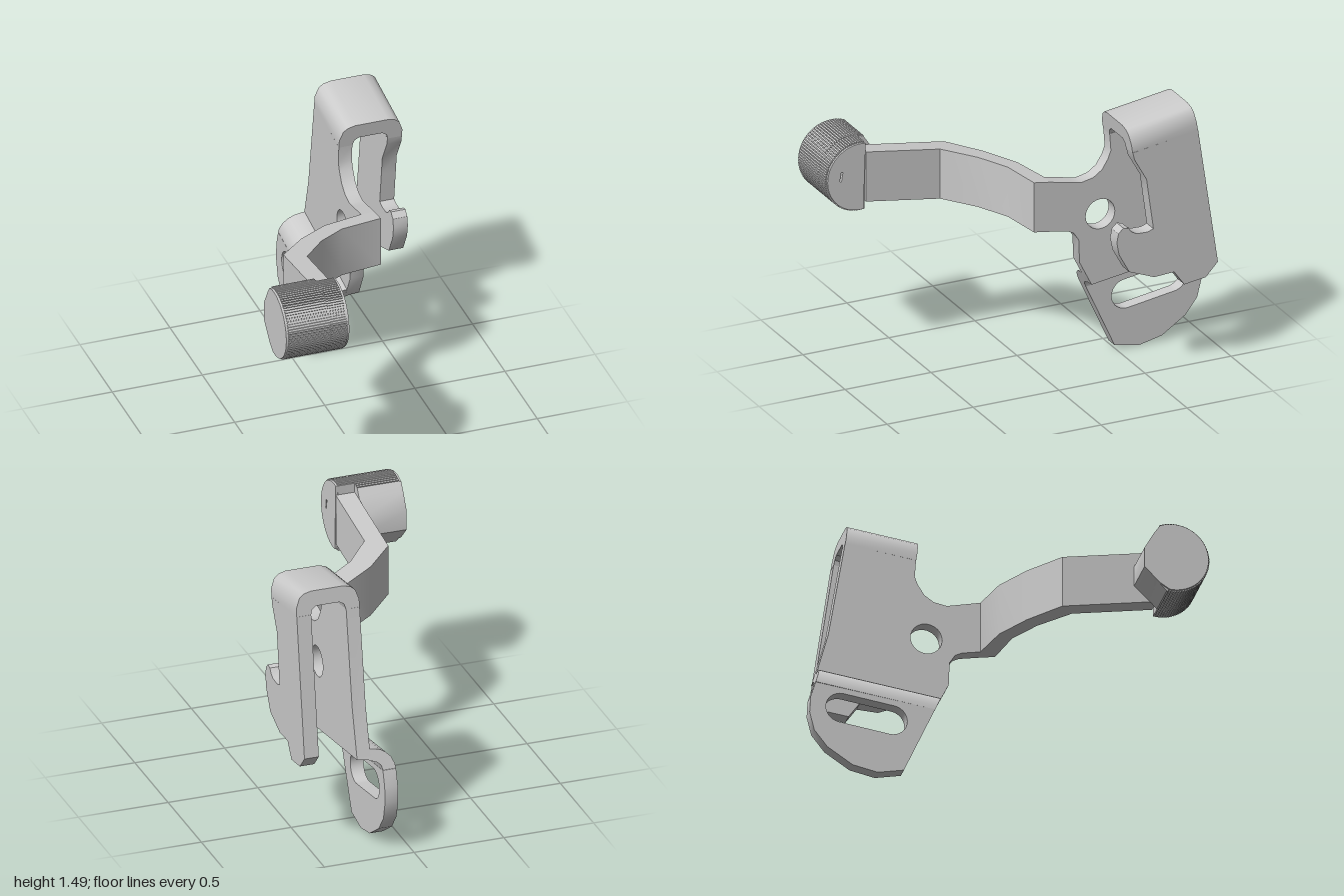
import * as THREE from 'three';
import { toCreasedNormals } from 'three/addons/utils/BufferGeometryUtils.js';

const material = new THREE.MeshStandardMaterial({ color: 0xcccccc, side: THREE.DoubleSide });
const TILT = 0.147; // slope of the bracket, in radians

const toShape = pts => new THREE.Shape(pts.map(p => new THREE.Vector2(...p)));
const extrude = (shape, depth) =>
  new THREE.ExtrudeGeometry(shape, { depth, bevelEnabled: false, curveSegments: 12 });

function part(name, geometry) {
  const mesh = new THREE.Mesh(toCreasedNormals(geometry, 0.6), material);
  mesh.name = name;
  return mesh;
}

// Upright plate: outline given as (-z, y), thickness running from x0 to x1
function plate(name, pts, x0, x1, hole) {
  const shape = toShape(pts);
  if (hole) shape.holes.push(hole);
  const geometry = extrude(shape, x1 - x0);
  geometry.rotateY(Math.PI / 2).translate(x0, 0, 0);
  return part(name, geometry);
}

// Bend: (x, v) profile swept backward along the tilted direction,
// from a start point, with optional slant of the two cut ends
function bend(name, pts, length, y, z, slantFront = 0, slantBack = 0) {
  const geometry = extrude(toShape(pts), length);
  geometry.translate(0, 0, -length);
  const p = geometry.attributes.position;
  for (let i = 0; i < p.count; i++) {
    const slant = p.getZ(i) > -length / 2 ? slantFront : slantBack;
    p.setZ(i, p.getZ(i) + p.getY(i) * slant);
  }
  geometry.computeVertexNormals();
  geometry.rotateX(TILT).translate(0, y, z);
  return part(name, geometry);
}

function roundHole(s, y, r) {
  const path = new THREE.Path();
  path.absarc(s, y, r, 0, Math.PI * 2, true);
  return path;
}

function slotHole(s0, y0, s1, y1, r) {
  const a = Math.atan2(y1 - y0, s1 - s0);
  const path = new THREE.Path();
  path.absarc(s0, y0, r, a + Math.PI / 2, a + Math.PI * 1.5, false);
  path.absarc(s1, y1, r, a - Math.PI / 2, a + Math.PI / 2, false);
  path.closePath();
  return path;
}

// Arc of the grip, with square ridges when toothed
function gripArc(from, to, toothed) {
  const pts = [], n = 50, step = (to - from) / n;
  for (let i = 0; i < n; i++) {
    const a = from + i * step;
    const edges = toothed ? [[0, 0.188], [0.3, 0.188], [0.35, 0.195], [0.95, 0.195]] : [[0, 0.188]];
    for (const [t, r] of edges) {
      const b = (a + t * step) * Math.PI / 180;
      pts.push([-0.805 + r * Math.cos(b), 1.09 + r * Math.sin(b)]);
    }
  }
  return pts;
}

export function createModel() {
  const model = new THREE.Group();
  model.name = 'leverBracket';

  // Main plate with pivot hole
  model.add(plate('mainPlate', [
    [0.05, 0.814], [0.15, 0.797], [0.185, 0.78], [0.215, 0.735], [0.22, 0.605], [0.29, 0.465],
    [0.94, 0.56], [0.865, 0.83], [0.775, 1.363], [0.395, 1.306], [0.402, 1.21], [0.385, 1.165],
    [0.35, 1.11], [0.3, 1.075], [0.23, 1.06], [0.18, 1.07], [0.05, 1.097],
  ], 0.22, 0.295, roundHole(0.34, 0.86, 0.085)));

  // Folded top joining the main plate to the hook plate
  model.add(bend('topFold', [
    [0.22, -0.13], [0.22, -0.085], [0.24, -0.03], [0.265, -0.01], [0.305, 0],
    [0.485, 0], [0.525, -0.01], [0.55, -0.03], [0.57, -0.085], [0.57, -0.13],
    [0.49, -0.13], [0.485, -0.105], [0.46, -0.085], [0.33, -0.085], [0.305, -0.1], [0.295, -0.13],
  ], 0.384, 1.435, -0.375));

  // Hook plate
  model.add(plate('hookPlate', [
    [0.395, 1.306], [0.405, 1.265], [0.475, 1.14], [0.49, 1.03], [0.515, 0.85], [0.48, 0.838],
    [0.42, 0.84], [0.39, 0.855], [0.37, 0.88], [0.34, 0.887], [0.312, 0.86], [0.302, 0.81],
    [0.315, 0.74], [0.375, 0.63], [0.52, 0.573], [0.635, 0.58], [0.695, 0.497], [0.82, 0.515],
    [0.89, 0.59], [0.775, 1.363],
  ], 0.49, 0.57));

  // Stepped bend between main plate and lower tab
  model.add(bend('stepBend', [
    [0.295, 0], [0.24, -0.008], [0.185, -0.03], [0.165, -0.05], [0.16, -0.075], [0.087, -0.075],
    [0.09, -0.05], [0.107, -0.01], [0.135, 0.018], [0.165, 0.036], [0.22, 0.046], [0.295, 0.046],
  ], 0.657, 0.465, -0.29, 0.29, 0.155));

  // Lower tab with slot
  model.add(plate('lowerTab', [
    [0.323, 0.394], [0.49, 0.027], [0.63, 0], [0.765, 0.03], [0.9, 0.12], [0.97, 0.21],
    [0.995, 0.31], [0.99, 0.4], [0.963, 0.487],
  ], 0.087, 0.16, slotHole(0.555, 0.31, 0.825, 0.352, 0.083)));

  // Curved arm: outline seen from above as (x, z), rising toward the grip
  const outline = [
    [0.22, -0.05], [0, 0], [-0.17, 0.11], [-0.325, 0.265], [-0.325, 0.77], [-0.22, 0.77],
    [-0.22, 0.34], [-0.085, 0.185], [0.065, 0.085], [0.295, 0.045], [0.295, -0.05],
  ];
  const armGeometry = extrude(toShape(outline.map(([x, z]) => [x, -z])), 0.283);
  armGeometry.rotateX(-Math.PI / 2);
  const p = armGeometry.attributes.position;
  for (let i = 0; i < p.count; i++) p.setY(i, p.getY(i) + 0.822 + 0.155 * p.getZ(i));
  armGeometry.computeVertexNormals();
  model.add(part('arm', armGeometry));

  // Ridged grip: wide part beside the arm, narrow part capping the arm's end
  const grip = new THREE.Group();
  grip.name = 'grip';
  const back = [[-0.735, 0.935], [-0.65, 1.02], [-0.65, 1.13], [-0.7, 1.217]];
  for (const toothed of [false, true]) {
    const inset = toothed ? 0.012 : 0;
    const kind = toothed ? 'Ridges' : 'Core';
    grip.add(plate('gripBody' + kind, [...gripArc(67, 280, toothed), ...back], -0.57 + inset, -0.325));
    grip.add(plate('gripCap' + kind, gripArc(80, 280, toothed), -0.325, -0.22 - inset,
      slotHole(-0.917, 1.085, -0.91, 1.13, 0.005)));
  }
  model.add(grip);

  return model;
}
